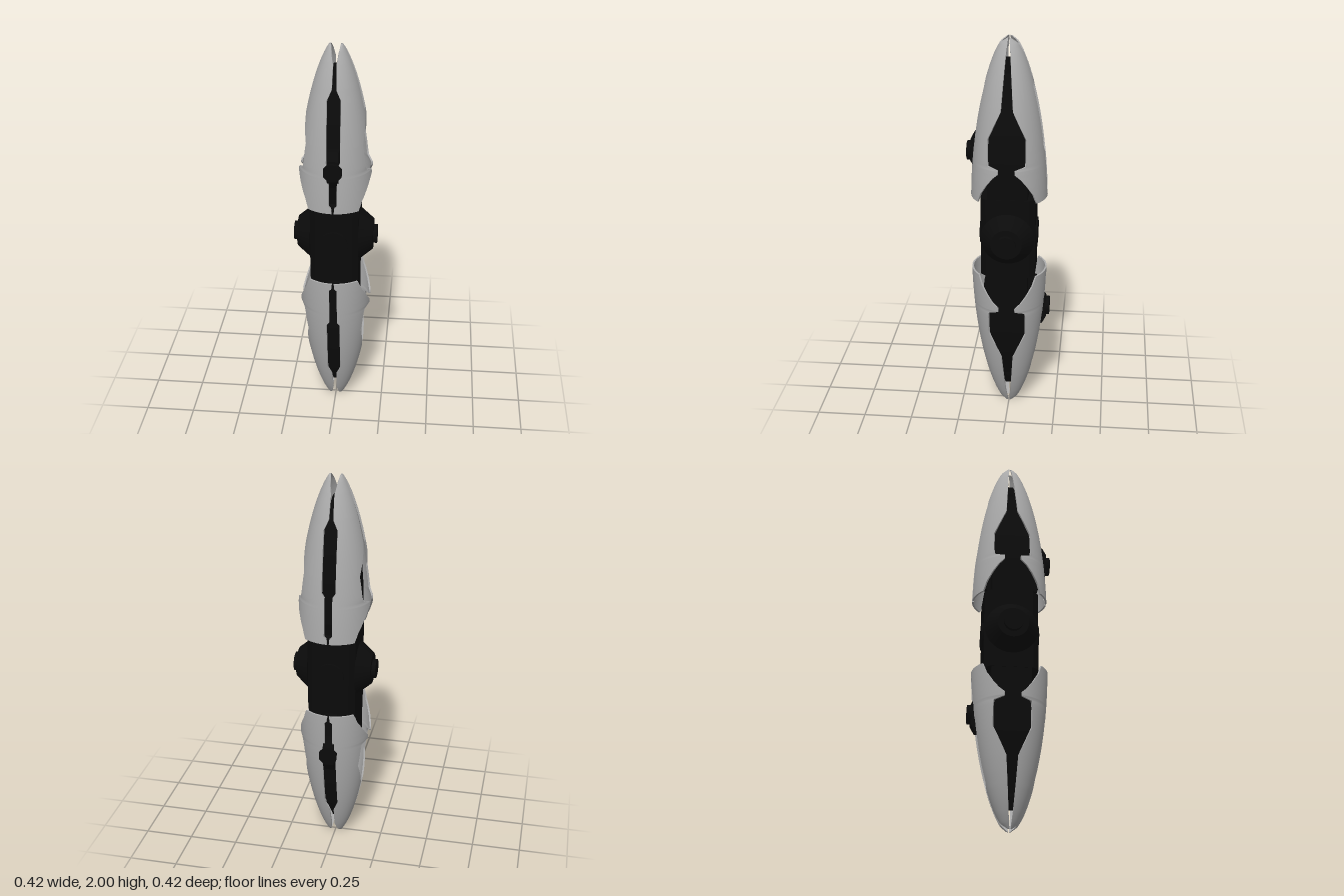
import * as THREE from 'three';

const shellMat = new THREE.MeshStandardMaterial({ color: 0xacacac });
shellMat.name = 'shell grey';
const coreMat = new THREE.MeshStandardMaterial({ color: 0x0b0b0b });
coreMat.name = 'core black';

// Heights are measured from the middle of the body (y = 0 here).
const FRONT_SLOT = [[0.2, 0.005], [0.23, 0.008], [0.24, 0.02], [0.44, 0.02], [0.46, 0.034], [0.76, 0.034],
  [0.81, 0.011], [0.92, 0.008], [0.97, 0.019], [1, 0.031]];
const SIDE_SLOT = [[0.2, 0.147], [0.25, 0.13], [0.3, 0.1], [0.34, 0.07], [0.365, 0.042], [0.385, 0.042],
  [0.4, 0.092], [0.43, 0.096], [0.53, 0.095], [0.67, 0.03], [0.81, 0.02], [0.93, 0.011], [1, 0.003]];
const THICK = 0.009;

function lookup(table, y) {
  for (let i = 1; i < table.length; i++) {
    const [y0, v0] = table[i - 1], [y1, v1] = table[i];
    if (y <= y1) return v0 + (v1 - v0) * (y - y0) / (y1 - y0);
  }
  return table[table.length - 1][1];
}

const shellRadius = (y) => 0.193 * Math.pow(1 - ((y - 0.13) / 0.9) ** 2, 0.65);

function addMesh(group, name, geometry, material = coreMat) {
  const mesh = new THREE.Mesh(geometry, material);
  mesh.name = name;
  group.add(mesh);
  return mesh;
}

// Rows of points become a smooth sheet; flip reverses its facing.
function sheet(rows, flip) {
  const n = rows[0].length, index = [];
  for (let j = 0; j < rows.length - 1; j++) {
    for (let i = 0; i < n - 1; i++) {
      const a = j * n + i, b = a + 1, c = a + n, d = c + 1;
      if (flip) index.push(a, c, b, b, c, d);
      else index.push(a, b, c, b, d, c);
    }
  }
  const geo = new THREE.BufferGeometry();
  geo.setAttribute('position', new THREE.Float32BufferAttribute(rows.flat(2), 3));
  geo.setIndex(index);
  geo.computeVertexNormals();
  return geo;
}

// One quarter of the slotted pod shell, with thickness
function petal(sx, sz) {
  const group = new THREE.Group();
  group.name = 'shellPetal';
  const levels = new Set([...FRONT_SLOT, ...SIDE_SLOT].map((p) => p[0]));
  for (let i = 0; i <= 40; i++) levels.add(Math.round((0.2 + i * 0.02) * 1000) / 1000);
  const ys = [...levels].sort((a, b) => a - b);
  const grid = (inset) => ys.map((y) => {
    const R = shellRadius(y), r = R - THICK * inset;
    const t0 = Math.asin(lookup(FRONT_SLOT, y) / R), t1 = Math.acos(lookup(SIDE_SLOT, y) / R);
    return Array.from({ length: 17 }, (_, i) => {
      const t = t0 + (t1 - t0) * i / 16;
      return [sx * r * Math.sin(t), y, sz * r * Math.cos(t)];
    });
  });
  const outer = grid(0), inner = grid(1), flip = sx * sz < 0, last = ys.length - 1;
  addMesh(group, 'outerSkin', sheet(outer, flip), shellMat);
  addMesh(group, 'innerSkin', sheet(inner, !flip), shellMat);
  addMesh(group, 'lowerRim', sheet([inner[0], outer[0]], flip), shellMat);
  addMesh(group, 'tipRim', sheet([outer[last], inner[last]], flip), shellMat);
  addMesh(group, 'frontRim', sheet(ys.map((_, j) => [inner[j][0], outer[j][0]]), flip), shellMat);
  addMesh(group, 'sideRim', sheet(ys.map((_, j) => [outer[j][16], inner[j][16]]), flip), shellMat);
  return group;
}

// Tapered rectangular column from [y, halfX, halfZ] sections
function taperedColumn(sections) {
  const rows = sections.map(([y, x, z]) => [[x, y, z], [x, y, -z], [-x, y, -z], [-x, y, z], [x, y, z]]);
  const geo = sheet(rows, false).toNonIndexed();
  geo.computeVertexNormals();
  return geo;
}

// Plate with a (z, y) outline, centred on x = 0
function sidePlate(points, width) {
  const shape = new THREE.Shape(points.map(([z, y]) => new THREE.Vector2(z, y)));
  const geo = new THREE.ExtrudeGeometry(shape, { depth: width, bevelEnabled: false });
  return geo.translate(0, 0, -width / 2).rotateY(-Math.PI / 2);
}

function podHalf(name) {
  const half = new THREE.Group();
  half.name = name;
  for (const sx of [1, -1]) for (const sz of [1, -1]) half.add(petal(sx, sz));

  // inner column and the fins behind the front and back slots
  addMesh(half, 'innerColumn', taperedColumn([[0.15, 0.12, 0.1], [0.4, 0.12, 0.1], [0.54, 0.11, 0.098],
    [0.68, 0.075, 0.07], [0.8, 0.04, 0.05], [0.9, 0.012, 0.02], [0.901, 0, 0]]));
  for (const s of [0, Math.PI]) {
    const fin = addMesh(half, 'slotFin', sidePlate([[0, 0.18], [0.1, 0.2], [0.128, 0.28], [0.138, 0.5],
      [0.122, 0.64], [0.085, 0.79], [0, 0.85]], 0.064));
    fin.rotation.y = s;
  }

  // latch poking out of the front slot
  addMesh(half, 'latchStem', sidePlate([[0.08, 0.26], [0.14, 0.26], [0.165, 0.33], [0.193, 0.38],
    [0.193, 0.48], [0.172, 0.52], [0.08, 0.52]], 0.056));
  const cap = new THREE.CylinderGeometry(0.048, 0.048, 0.022, 8);
  addMesh(half, 'latchCap', cap.rotateY(Math.PI / 8).rotateX(Math.PI / 2).translate(0, 0.425, 0.199));
  return half;
}

export function createModel() {
  const model = new THREE.Group();
  model.name = 'slottedPod';
  const body = new THREE.Group();
  body.name = 'body';
  body.position.y = 1;
  model.add(body);

  // lower half is the upper half turned over
  const lower = podHalf('lowerHalf');
  lower.rotation.x = Math.PI;
  body.add(podHalf('upperHalf'), lower);

  // chamfered centre block
  const X = 0.122, Z = 0.137, C = 0.03;
  const outline = [[X, Z - C], [X - C, Z], [C - X, Z], [-X, Z - C], [-X, C - Z], [C - X, -Z], [X - C, -Z], [X, C - Z]];
  const block = new THREE.ExtrudeGeometry(new THREE.Shape(outline.map(([x, z]) => new THREE.Vector2(x, z))),
    { depth: 0.42, bevelEnabled: false });
  addMesh(body, 'centreBlock', block.translate(0, 0, -0.21).rotateX(-Math.PI / 2));

  // conical side hubs with caps, and shallow front and back bosses
  for (const s of [1, -1]) {
    const hub = new THREE.CylinderGeometry(0.078, 0.135, 0.07, 32);
    addMesh(body, 'sideHub', hub.rotateZ(-s * Math.PI / 2).translate(s * 0.156, 0, 0));
    const cap = new THREE.CylinderGeometry(0.048, 0.048, 0.03, 24);
    addMesh(body, 'hubCap', cap.rotateZ(-s * Math.PI / 2).translate(s * 0.196, 0, 0));
    const boss = new THREE.CylinderGeometry(0.07, 0.07, 0.02, 32);
    addMesh(body, 'faceBoss', boss.rotateX(s * Math.PI / 2).translate(0, 0, s * 0.135));
  }
  return model;
}
